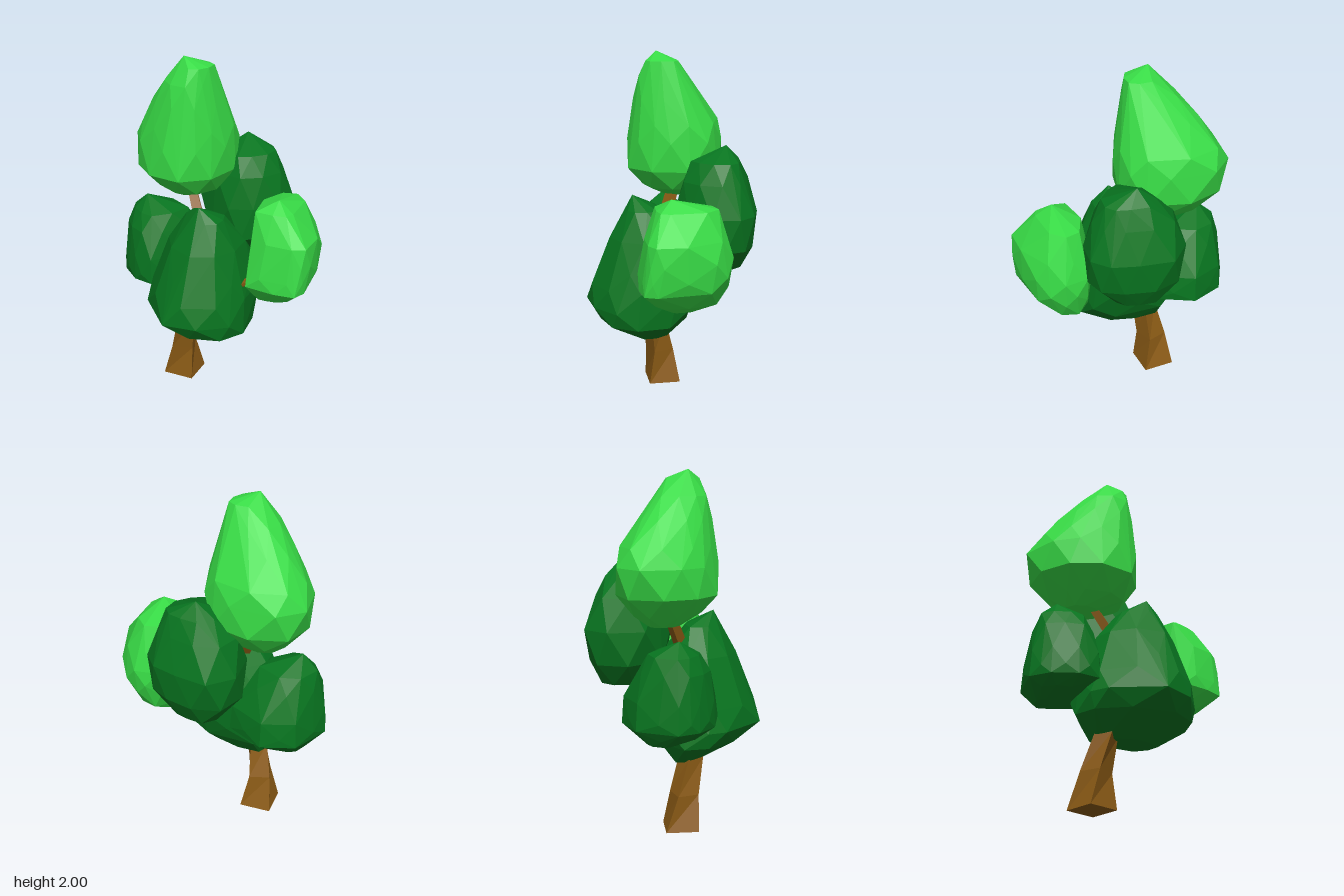
import * as THREE from 'three';
import { ConvexGeometry } from 'three/addons/geometries/ConvexGeometry.js';

const mat = (color) => new THREE.MeshStandardMaterial({ color, flatShading: true });
const bark = mat(0x8a5a15), lightLeaf = mat(0x38dc46), darkLeaf = mat(0x087520);

// Faceted leaf clump: a plan outline [x, z] fitted into boxes [y, xMin, xMax, zMin, zMax],
// staggered on every other level, then wrapped in a convex hull with a pointed tip [x, y, z].
function clump(name, material, plan, tip, levels) {
  const n = plan.length;
  const curve = new THREE.CatmullRomCurve3(plan.map(([x, z]) => new THREE.Vector3(x, 0, z)), true);
  const points = [new THREE.Vector3(...tip)];
  levels.forEach(([y, x0, x1, z0, z1], k) => {
    const ring = plan.map((_, i) => curve.getPoint(((i + (k % 2) / 2) / n) % 1));
    const box = new THREE.Box3().setFromPoints(ring);
    for (const p of ring) {
      points.push(new THREE.Vector3(
        THREE.MathUtils.mapLinear(p.x, box.min.x, box.max.x, x0, x1),
        y,
        THREE.MathUtils.mapLinear(p.z, box.min.z, box.max.z, z0, z1)));
    }
  });
  const mesh = new THREE.Mesh(new ConvexGeometry(points), material);
  mesh.name = name;
  return mesh;
}

// Four-sided limb through sections [x, y, z, radius, twist].
function limb(name, sections) {
  const pos = [], idx = [];
  sections.forEach(([x, y, z, r, twist], k) => {
    for (let i = 0; i < 4; i++) {
      const a = twist + i * Math.PI / 2;
      pos.push(x + r * Math.sin(a), y, z + r * Math.cos(a));
      if (k === 0) continue;
      const j = (i + 1) % 4, lo = (k - 1) * 4, hi = k * 4;
      idx.push(lo + i, lo + j, hi + j, lo + i, hi + j, hi + i);
    }
  });
  const t = (sections.length - 1) * 4;
  idx.push(0, 2, 1, 0, 3, 2, t, t + 1, t + 2, t, t + 2, t + 3);
  const indexed = new THREE.BufferGeometry();
  indexed.setAttribute('position', new THREE.Float32BufferAttribute(pos, 3));
  indexed.setIndex(idx);
  const geo = indexed.toNonIndexed();
  geo.computeVertexNormals();
  const mesh = new THREE.Mesh(geo, bark);
  mesh.name = name;
  return mesh;
}

export function createModel() {
  const tree = new THREE.Group();
  tree.name = 'tree';

  // Trunk and the branch reaching into the front clump
  tree.add(
    limb('trunk', [
      [-0.10, 0, -0.22, 0.13, -0.39], [-0.115, 0.2, -0.205, 0.087, -0.1],
      [-0.14, 0.4, -0.16, 0.07, 0.1], [-0.12, 0.7, -0.11, 0.055, 0.1],
      [-0.07, 1.0, -0.09, 0.042, 0.1], [-0.02, 1.28, -0.25, 0.033, 0.1]]),
    limb('frontBranch', [
      [-0.13, 0.55, -0.05, 0.05, 0.1], [-0.09, 0.77, 0.25, 0.033, 0.1], [0.02, 0.85, 0.36, 0.03, 0.1]]));

  // Leaf clumps
  tree.add(
    clump('topLeaves', lightLeaf,
      [[0, -0.6], [0.16, -0.52], [0.24, -0.27], [0.2, -0.06], [0, 0.03], [-0.2, 0], [-0.31, -0.15], [-0.29, -0.37], [-0.2, -0.5]],
      [-0.12, 2.0, -0.16],
      [[1.95, -0.16, 0.02, -0.2, -0.03], [1.86, -0.22, 0.06, -0.31, -0.02],
        [1.74, -0.245, 0.125, -0.43, 0], [1.6, -0.27, 0.215, -0.53, 0.02],
        [1.5, -0.29, 0.24, -0.6, 0.03], [1.34, -0.31, 0.24, -0.55, 0.03],
        [1.23, -0.2, 0.16, -0.46, -0.04], [1.17, -0.11, 0.07, -0.38, -0.18]]),
    clump('lowerLeaves', darkLeaf,
      [[-0.49, 0.05], [-0.39, 0.22], [-0.22, 0.32], [0, 0.27], [0.17, 0.15], [0.12, -0.12], [-0.05, -0.34], [-0.27, -0.3], [-0.36, -0.23]],
      [-0.21, 1.21, 0.05],
      [[1.13, -0.25, -0.05, -0.1, 0.15], [0.97, -0.33, 0.09, -0.22, 0.22],
        [0.8, -0.4, 0.17, -0.29, 0.27], [0.7, -0.43, 0.17, -0.32, 0.3],
        [0.58, -0.49, 0.14, -0.34, 0.32], [0.49, -0.38, 0.1, -0.34, 0.31],
        [0.38, -0.2, -0.01, -0.23, 0.14]]),
    clump('sideLeaves', darkLeaf,
      [[0.28, -0.36], [0.44, -0.29], [0.48, -0.1], [0.49, 0.05], [0.43, 0.16], [0.28, 0.2], [0.13, 0.13], [0.03, 0.03], [0.09, -0.27]],
      [0.3, 1.49, -0.09],
      [[1.41, 0.12, 0.39, -0.19, 0.1], [1.3, 0.06, 0.43, -0.29, 0.15],
        [1.12, 0.03, 0.49, -0.36, 0.2], [0.93, 0.04, 0.47, -0.32, 0.18],
        [0.8, 0.16, 0.4, -0.23, 0.04]]),
    clump('frontLeaves', lightLeaf,
      [[-0.11, 0.32], [-0.06, 0.49], [0, 0.6], [0.08, 0.6], [0.35, 0.46], [0.415, 0.3], [0.34, 0.18], [0.12, 0.17]],
      [0.09, 1.27, 0.37],
      [[1.21, -0.02, 0.33, 0.21, 0.46], [1.06, -0.05, 0.37, 0.18, 0.6],
        [0.95, -0.07, 0.415, 0.16, 0.6], [0.86, -0.09, 0.4, 0.16, 0.6],
        [0.79, -0.11, 0.39, 0.17, 0.59], [0.69, -0.03, 0.33, 0.18, 0.47],
        [0.62, 0.06, 0.2, 0.21, 0.32]]),
    clump('backLeaves', darkLeaf,
      [[-0.2, -0.61], [-0.29, -0.52], [-0.335, -0.38], [-0.31, -0.26], [-0.1, -0.18], [0.14, -0.19], [0.17, -0.44], [0.04, -0.59]],
      [-0.16, 1.12, -0.46],
      [[1.04, -0.25, 0.02, -0.55, -0.28], [0.95, -0.3, 0.08, -0.58, -0.23],
        [0.8, -0.33, 0.16, -0.6, -0.19], [0.7, -0.335, 0.16, -0.61, -0.18],
        [0.65, -0.335, 0.17, -0.61, -0.18], [0.6, -0.26, 0.08, -0.57, -0.31],
        [0.56, -0.14, 0, -0.54, -0.46]]));
  return tree;
}
